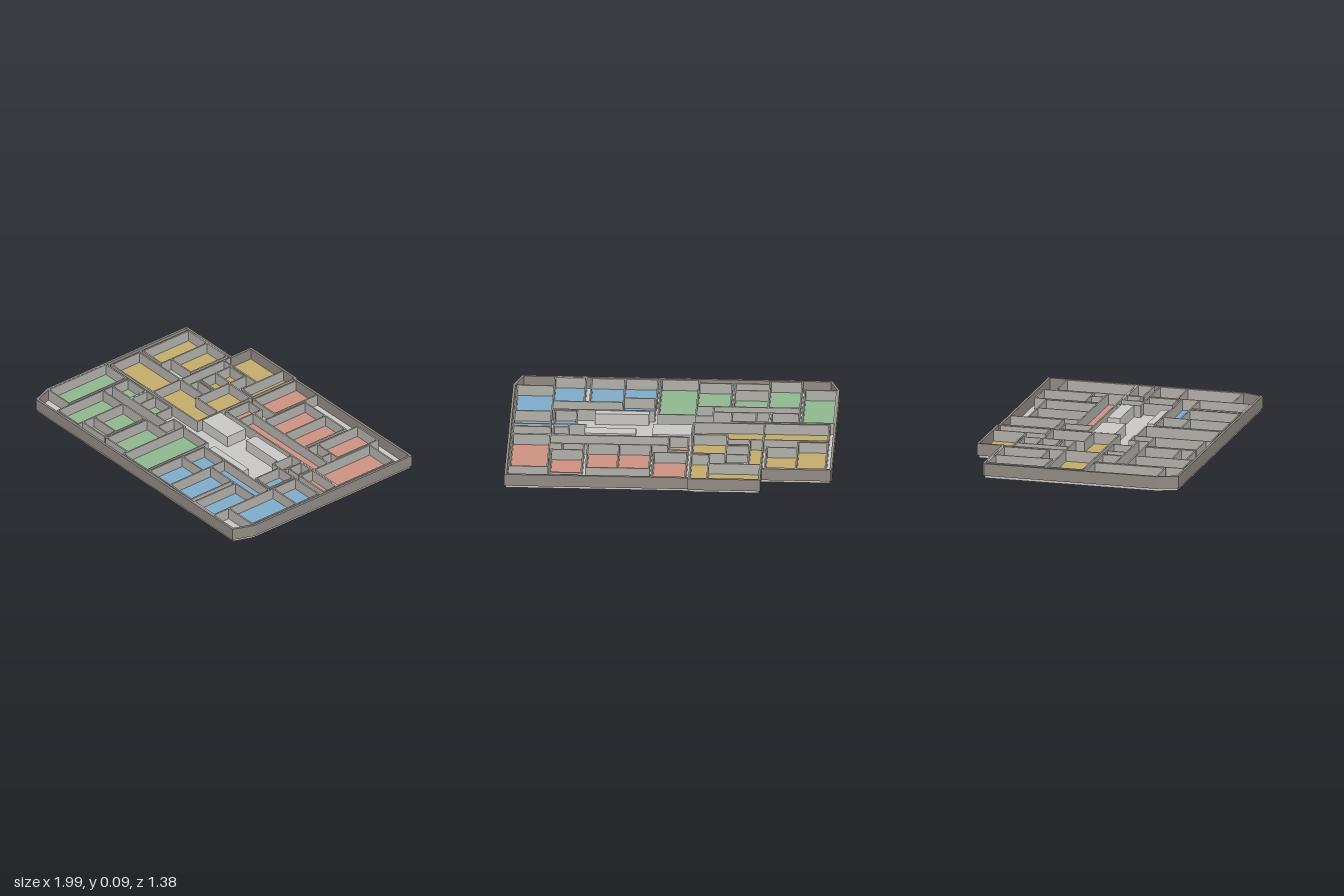
import * as THREE from 'three';

const mat = (name, color, extra = {}) => new THREE.MeshStandardMaterial({ name, color, ...extra });

const SLAB_TOP = 0.017, WALL_TOP = 0.092, WALL = 0.009;

// building perimeter as [x, z]
const OUTLINE = [
  [-0.997, -0.53], [-0.987, -0.54], [-0.566, -0.54], [-0.566, -0.695], [-0.122, -0.695], [-0.122, -0.684],
  [0.997, -0.684], [0.997, 0.56], [0.947, 0.69], [-0.947, 0.69], [-0.997, 0.56],
];

// rooms of each flat as [x0, x1, z0, z1]
const FLATS = {
  yellow: [
    [-0.955, -0.775, -0.52, -0.16], [-0.775, -0.585, -0.52, -0.235],
    [-0.56, -0.24, -0.685, -0.475], [-0.24, -0.13, -0.685, -0.355],
    [-0.56, -0.48, -0.475, -0.135], [-0.48, -0.34, -0.46, -0.345],
    [-0.48, -0.34, -0.345, -0.225], [-0.48, -0.34, -0.205, -0.135],
    [-0.34, -0.13, -0.335, -0.08], [-0.955, -0.56, -0.135, 0.085],
  ],
  red: [
    [-0.105, 0.1, -0.675, -0.335], [0.12, 0.315, -0.56, -0.235], [0.315, 0.505, -0.56, -0.235],
    [0.53, 0.725, -0.635, -0.32], [0.74, 0.97, -0.56, -0.12], [0.015, 0.74, -0.235, -0.12],
    [-0.105, 0.015, -0.3, -0.12], [0.53, 0.66, -0.32, -0.235], [0.53, 0.63, -0.12, 0.03],
    [0.63, 0.725, -0.11, -0.01], [0.74, 0.97, -0.11, -0.01],
  ],
  green: [
    [-0.98, -0.785, 0.11, 0.56], [-0.765, -0.595, 0.11, 0.235], [-0.585, -0.505, 0.11, 0.235],
    [-0.505, -0.355, 0.11, 0.235], [-0.765, -0.24, 0.235, 0.31], [-0.24, -0.135, 0.18, 0.31],
    [-0.765, -0.57, 0.31, 0.665], [-0.57, -0.36, 0.31, 0.54], [-0.57, -0.36, 0.54, 0.63],
    [-0.34, -0.135, 0.31, 0.63], [-0.135, 0.095, 0.19, 0.665],
  ],
  blue: [
    [0.12, 0.315, 0.235, 0.405], [0.115, 0.315, 0.405, 0.665], [0.315, 0.745, 0.235, 0.345],
    [0.315, 0.52, 0.345, 0.665], [0.555, 0.745, 0.345, 0.67], [0.745, 0.97, 0.205, 0.555],
    [0.745, 0.97, 0.03, 0.205], [0.59, 0.725, 0.03, 0.215],
  ],
};

// solid blocks in the shared lobby
const CORES = [[-0.12, 0.12, -0.09, 0.055], [0.22, 0.53, -0.09, 0.01], [0.15, 0.48, 0.18, 0.225]];
CORES[1][3] = -0.01;

// mitred inset of a clockwise-on-plan outline
function inset(points, d) {
  const n = points.length;
  return points.map((p, i) => {
    const a = points[(i + n - 1) % n], b = points[(i + 1) % n];
    const u = new THREE.Vector2(p[0] - a[0], p[1] - a[1]).normalize();
    const v = new THREE.Vector2(b[0] - p[0], b[1] - p[1]).normalize();
    const k = d / (1 + u.dot(v));
    return [p[0] - (u.y + v.y) * k, p[1] + (u.x + v.x) * k];
  });
}

const toVectors = (points) => points.map(([x, z]) => new THREE.Vector2(x, z));

// upright prism over a plan shape, with an optional hole
function prism(points, hole, bottom, top) {
  const shape = new THREE.Shape(toVectors(points));
  if (hole) shape.holes.push(new THREE.Path(toVectors(hole)));
  const geo = new THREE.ExtrudeGeometry(shape, { depth: top - bottom, bevelEnabled: false });
  return geo.rotateX(Math.PI / 2).translate(0, top, 0);
}

const rect = ([x0, x1, z0, z1], g = 0) => [[x0 - g, z0 - g], [x1 + g, z0 - g], [x1 + g, z1 + g], [x0 - g, z1 + g]];

export function createModel() {
  const model = new THREE.Group();
  model.name = 'floorPlan';
  const slabMat = mat('pale concrete', 0xcbc9c5);
  const outerMat = mat('outer wall grey', 0x928b85);
  const innerMat = mat('inner wall grey', 0xb3b0ab);
  const floorMats = {
    yellow: mat('ochre floor', 0xc4ac6c),
    red: mat('terracotta floor', 0xcd9282),
    green: mat('sage floor', 0x90b890),
    blue: mat('sky blue floor', 0x80accb),
  };
  const add = (parent, name, geo, material) => {
    const mesh = new THREE.Mesh(geo, material);
    mesh.name = name;
    parent.add(mesh);
  };

  // base and perimeter
  add(model, 'slab', prism(inset(OUTLINE, 0.009), null, 0, SLAB_TOP), slabMat);
  add(model, 'outerWall', prism(OUTLINE, inset(OUTLINE, 0.015), SLAB_TOP - 0.001, WALL_TOP), outerMat);

  // each room: a thin coloured floor and a ring of partition walls
  for (const [colour, rooms] of Object.entries(FLATS)) {
    const flat = new THREE.Group();
    flat.name = `${colour}Flat`;
    model.add(flat);
    for (const room of rooms) {
      add(flat, 'roomFloor', prism(rect(room), null, SLAB_TOP, SLAB_TOP + 0.004), floorMats[colour]);
      add(flat, 'roomWalls', prism(rect(room, WALL / 2), rect(room, -WALL / 2), SLAB_TOP, WALL_TOP - 0.001), innerMat);
    }
  }

  // living room with a notched entrance corner
  const living = [[-0.56, -0.135], [-0.34, -0.135], [-0.34, -0.08], [-0.13, -0.08], [-0.13, 0.055], [-0.21, 0.055], [-0.21, 0.085], [-0.56, 0.085]];
  const livingWall = [[-0.56, -0.135], [-0.34, -0.135], [-0.34, -0.08], [-0.13, -0.08], [-0.13, 0.085], [-0.56, 0.085]];
  add(model, 'livingFloor', prism(living, null, SLAB_TOP, SLAB_TOP + 0.004), floorMats.yellow);
  add(model, 'livingWalls', prism(inset(livingWall, -WALL / 2), inset(livingWall, WALL / 2), SLAB_TOP, WALL_TOP - 0.001), innerMat);

  // lift and stair cores
  for (const core of CORES) add(model, 'core', prism(rect(core), null, SLAB_TOP, WALL_TOP - 0.002), slabMat);

  return model;
}
